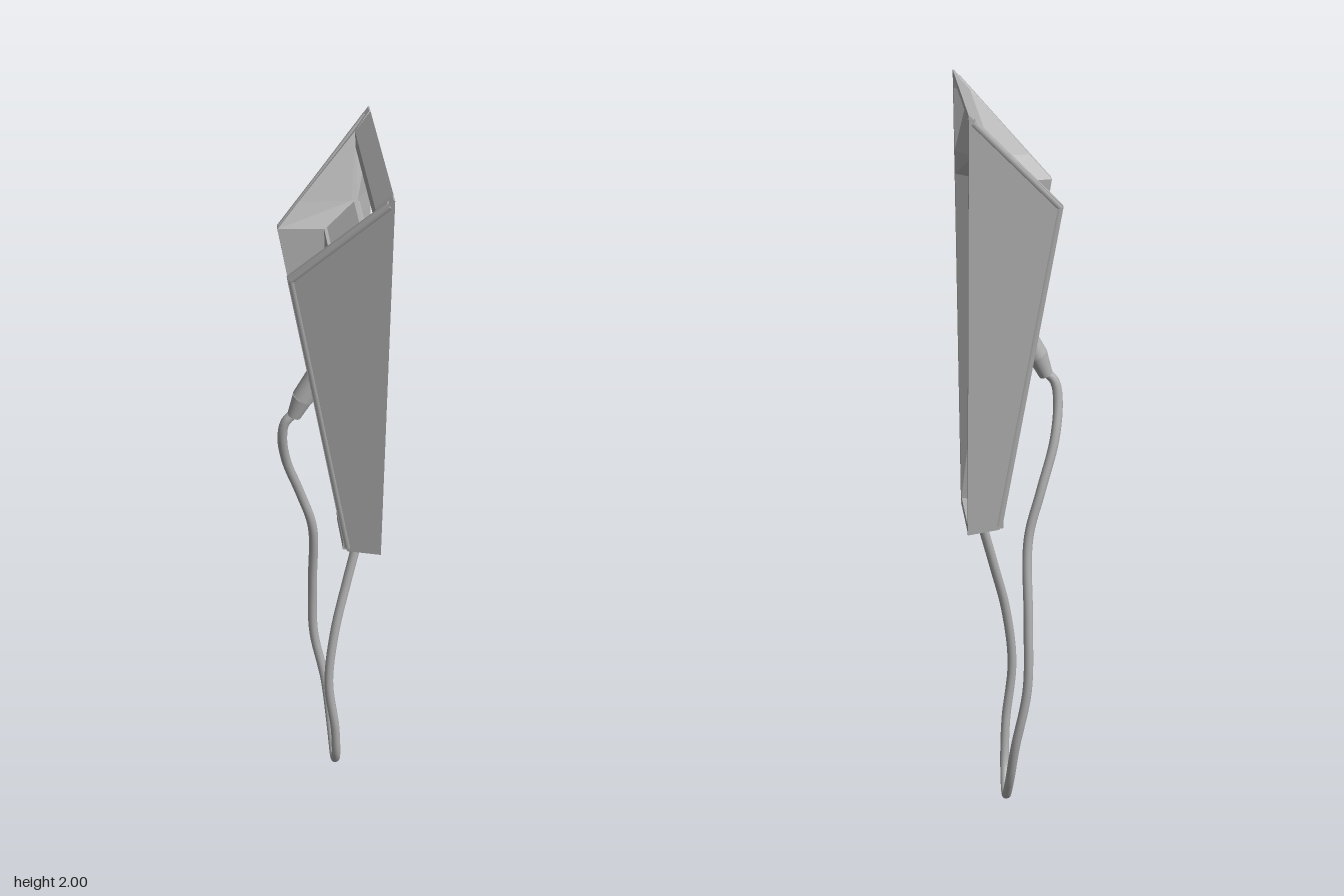
import * as THREE from 'three';

const gray = new THREE.MeshStandardMaterial({ color: 0xb0b0b0, side: THREE.DoubleSide });
gray.name = 'warm gray';

const lerp = THREE.MathUtils.lerp;
// outer face of a side panel, back face of the floor, half width of the floor
const outerZ = (x, y) => 0.225 + 0.3 * (x - 0.125) + 0.1087 * (y - 2);
const along = (y) => (y - 0.85) / 0.89;
const floorX = (y) => lerp(0.045, 0.02, along(y));
const floorZ = (y) => lerp(0.066, 0.092, along(y));

// flat-shaded solid through equal-length rings of [x, y, z]
function loft(rings) {
  const n = rings[0].length, pos = [], idx = [];
  rings.forEach((r) => r.forEach((p) => pos.push(...p)));
  for (let i = 0; i < rings.length - 1; i++) {
    for (let j = 0; j < n; j++) {
      const a = i * n + j, b = i * n + (j + 1) % n;
      idx.push(a, a + n, b, b, a + n, b + n);
    }
  }
  const top = (rings.length - 1) * n;
  for (let j = 1; j < n - 1; j++) {
    idx.push(0, j, j + 1, top, top + j + 1, top + j);
  }
  const g = new THREE.BufferGeometry();
  g.setAttribute('position', new THREE.Float32BufferAttribute(pos, 3));
  g.setIndex(idx);
  const flat = g.toNonIndexed();
  flat.computeVertexNormals();
  return flat;
}

function rod(a, b, r0, r1, sides = 24) {
  const p = new THREE.Vector3(...a), q = new THREE.Vector3(...b);
  const d = q.clone().sub(p);
  const g = new THREE.CylinderGeometry(r1, r0, d.length(), sides);
  g.applyQuaternion(new THREE.Quaternion().setFromUnitVectors(new THREE.Vector3(0, 1, 0), d.normalize()));
  const c = p.add(q).multiplyScalar(0.5);
  return g.translate(c.x, c.y, c.z);
}

export function createModel() {
  const model = new THREE.Group();
  model.name = 'corded handset';
  const add = (name, geometry) => {
    const m = new THREE.Mesh(geometry, gray);
    m.name = name;
    model.add(m);
    return m;
  };

  // side panels: [y, back edge x, floor x, floor half width]
  const levels = [
    [0.85, 0.04, floorX(0.85), floorZ(0.85)],
    [0.87, 0.03, floorX(0.87), floorZ(0.87)],
    [1.74, -0.115, floorX(1.74), floorZ(1.74)],
    [1.8, -0.06, 0.085, 0.12],
    [1.957, 0.085, 0.087, 0.182],
    [2, 0.122, 0.125, 0.2],
  ];
  for (const s of [1, -1]) {
    const rings = levels.map(([y, xb, xf, zf]) => {
      const ring = [
        [0.125, y, s * outerZ(0.125, y)],
        [xb, y, s * outerZ(xb, y)],
        [xb, y, s * (outerZ(xb, y) - 0.018)],
        [Math.max(xb, xf - 0.015), y, s * zf],
        [xf, y, s * zf],
        [0.125, y, s * (outerZ(0.125, y) - 0.014)],
      ];
      return s > 0 ? ring : ring.reverse();
    });
    add(s > 0 ? 'leftPanel' : 'rightPanel', loft(rings));

    // rounded rim along the back and top edges
    const rim = [[0.043, 0.862], [-0.104, 1.738], [0.117, 1.982]]
      .map(([x, y]) => [x, y, s * (outerZ(x, y) - 0.009)]);
    for (let i = 0; i < 2; i++) add('panelRim', rod(rim[i], rim[i + 1], 0.011, 0.011, 12));
    add('rimCorner', new THREE.SphereGeometry(0.011, 12, 8)).position.set(...rim[1]);
  }

  // floor with a U-shaped pocket, bent to follow the sloping web
  const web = new THREE.Shape();
  web.moveTo(-floorZ(0.85), 0.85);
  web.lineTo(floorZ(0.85), 0.85);
  web.lineTo(floorZ(1.74), 1.74);
  web.lineTo(0.088, 1.74);
  web.lineTo(0.058, 1.2);
  web.absarc(0, 1.2, 0.058, 0, -Math.PI, true);
  web.lineTo(-0.088, 1.74);
  web.lineTo(-floorZ(1.74), 1.74);
  web.closePath();
  const toWeb = (g, shift) => {
    const p = g.attributes.position;
    for (let i = 0; i < p.count; i++) {
      const z = p.getX(i), y = p.getY(i), d = p.getZ(i);
      p.setXYZ(i, floorX(y) + d + shift, y, -z);
    }
    g.computeVertexNormals();
    return g;
  };
  add('floor', toWeb(new THREE.ExtrudeGeometry(web, { depth: 0.018, bevelEnabled: false, curveSegments: 24 }), -0.016));

  const pocket = new THREE.Shape();
  pocket.moveTo(0.09, 1.745);
  pocket.lineTo(0.06, 1.2);
  pocket.absarc(0, 1.2, 0.06, 0, -Math.PI, true);
  pocket.lineTo(-0.09, 1.745);
  pocket.closePath();
  add('pocketFloor', toWeb(new THREE.ExtrudeGeometry(pocket, { depth: 0.008, bevelEnabled: false, curveSegments: 24 }), -0.022));

  // flared lip above the floor
  const across = (profile, half) => loft([-1, 1].map((s) => profile.map(([x, y]) => [x, y, s * half(x, y)])));
  add('floorLip', across([[0, 1.74], [0.02, 1.735], [0.09, 1.795], [0.085, 1.8], [0.075, 1.8]],
    (x) => lerp(0.092, 0.12, Math.max(0, (x - 0.015) / 0.07))));

  // handle bar across the top
  add('topBar', across([[0.125, 2], [0.085, 1.957], [0.085, 1.92], [0.09, 1.92], [0.09, 1.95], [0.127, 1.99]],
    (x, y) => outerZ(x, y) - 0.012));

  // closed bottom end
  add('bottomPlate', loft([0.85, 0.872].map((y) => [
    [0.04, y, outerZ(0.04, y) - 0.002], [0.124, y, outerZ(0.124, y) - 0.002],
    [0.124, y, 0.002 - outerZ(0.124, y)], [0.04, y, 0.002 - outerZ(0.04, y)],
  ])));

  // cable gland under the bottom
  add('glandCollar', rod([0.08, 0.855, 0], [0.08, 0.838, 0], 0.03, 0.03));
  add('glandTip', rod([0.08, 0.84, 0], [0.08, 0.826, 0], 0.022, 0.02));

  // socket and plug on the back of the floor
  add('socketFlange', rod([0.014, 1.42, 0], [-0.012, 1.42, 0], 0.047, 0.047));
  add('socketRing', rod([-0.012, 1.42, 0], [-0.022, 1.415, 0], 0.04, 0.036));
  add('plugBody', rod([0.008, 1.44, 0], [-0.067, 1.305, 0], 0.028, 0.028));
  add('plugSleeve', rod([-0.067, 1.305, 0], [-0.09, 1.25, 0], 0.027, 0.018));
  const knob = add('knob', new THREE.SphereGeometry(0.03, 24, 12, 0, Math.PI * 2, Math.PI / 2, Math.PI / 2));
  knob.position.set(0.026, 1.412, 0);
  const knobTop = add('knobTop', new THREE.CircleGeometry(0.03, 24));
  knobTop.rotation.x = -Math.PI / 2;
  knobTop.position.copy(knob.position);

  // hanging cable loop from plug to gland
  const path = [
    [-0.085, 1.262, 0], [-0.112, 1.232, 0], [-0.12, 1.18, -0.008], [-0.108, 1.08, -0.035],
    [-0.07, 0.95, -0.062], [-0.036, 0.82, -0.078], [-0.032, 0.6, -0.115], [-0.028, 0.4, -0.13],
    [0.003, 0.22, -0.12], [0.015, 0.08, -0.075], [0.018, 0.014, -0.02], [0.016, 0.07, 0.033],
    [0.01, 0.2, 0.058], [-0.008, 0.38, 0.062], [0.01, 0.55, 0.048], [0.045, 0.7, 0.022], [0.08, 0.84, 0],
  ].map((p) => new THREE.Vector3(...p));
  add('cable', new THREE.TubeGeometry(new THREE.CatmullRomCurve3(path), 160, 0.0125, 12));

  return model;
}
